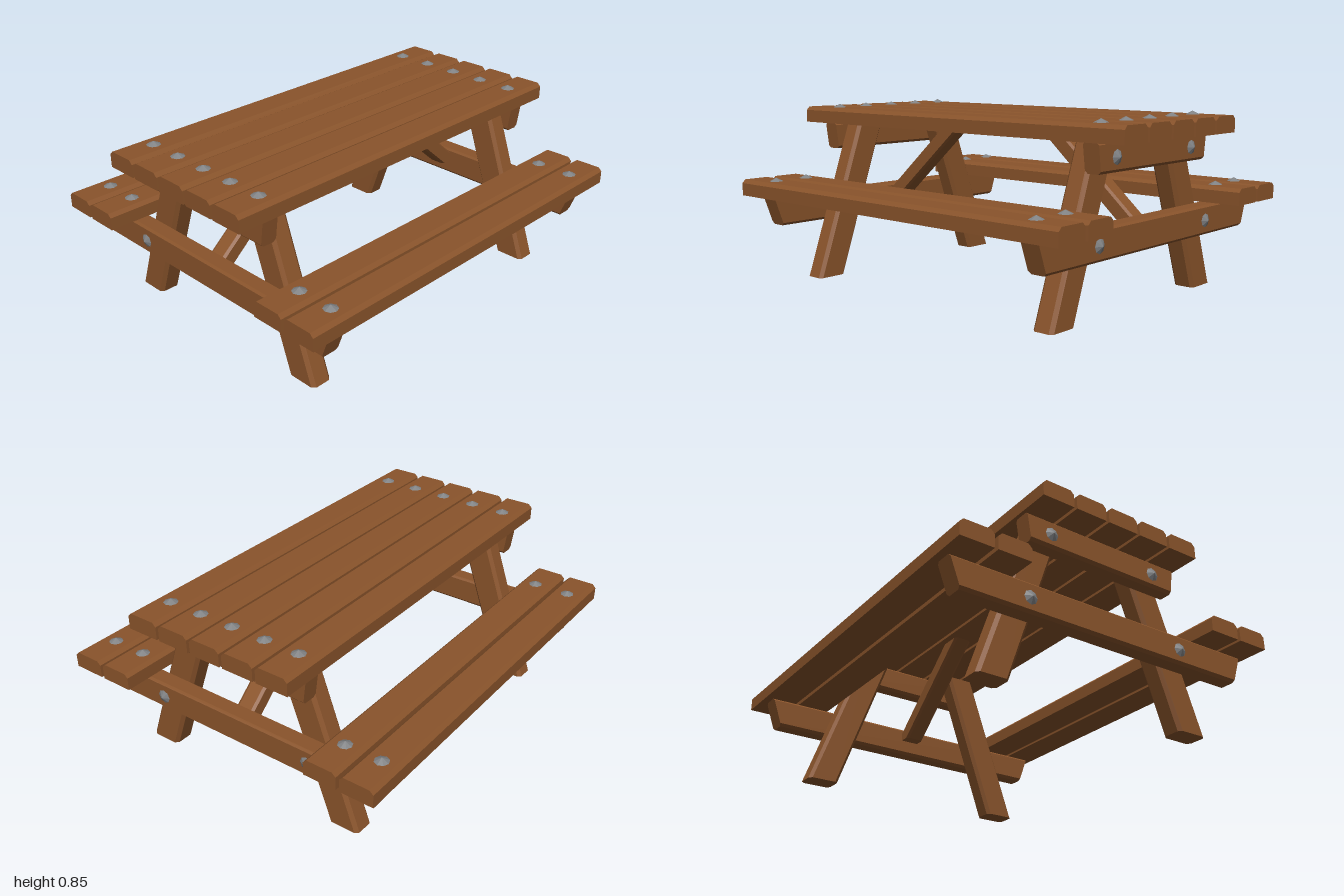
import * as THREE from 'three';

const wood = new THREE.MeshStandardMaterial({ color: 0x8a542b });
wood.name = 'brown wood';
const steel = new THREE.MeshStandardMaterial({ color: 0x808284 });
steel.name = 'grey steel';

// Rectangle centred on the origin with bevelled corners (cb = bottom, ct = top)
function section(w, h, cb, ct) {
  const a = w / 2, b = h / 2;
  const pts = [
    [-a, -b + cb], [-a + cb, -b], [a - cb, -b], [a, -b + cb],
    [a, b - ct], [a - ct, b], [-a + ct, b], [-a, b - ct],
  ].filter(([x, y], i, all) => !all.slice(0, i).some(([p, q]) => p === x && q === y));
  return new THREE.Shape(pts.map(([x, y]) => new THREE.Vector2(x, y)));
}

// Timber: extrudes a section from t = 0 to 1, then places each vertex by a rule
function timber(name, shape, place) {
  const geo = new THREE.ExtrudeGeometry(shape, { depth: 1, bevelEnabled: false });
  const p = geo.attributes.position;
  for (let i = 0; i < p.count; i++) p.setXYZ(i, ...place(p.getX(i), p.getY(i), p.getZ(i)));
  geo.computeVertexNormals();
  const mesh = new THREE.Mesh(geo, wood);
  mesh.name = name;
  return mesh;
}

// Low faceted bolt head, base on the given point
function bolt(x, y, z, sideways) {
  const geo = new THREE.ConeGeometry(0.035, 0.018, 8).toNonIndexed();
  geo.translate(0, 0.009, 0);
  geo.computeVertexNormals();
  const mesh = new THREE.Mesh(geo, steel);
  mesh.name = 'bolt';
  mesh.position.set(x, y, z);
  if (sideways) mesh.rotation.z = -Math.PI / 2;
  return mesh;
}

// Full-length board with a bolt at each end
function plank(name, top, z) {
  const g = new THREE.Group();
  g.name = name;
  g.add(timber(name + 'Board', section(0.16, 0.078, 0, 0.017),
    (u, v, t) => [2 * t - 1, top - 0.039 + v, z - u]));
  for (const s of [-1, 1]) g.add(bolt(s * 0.828, top - 0.001, z, false));
  return g;
}

// Cross beam along z whose ends slope in towards the bottom
function beam(name, x0, x1, y0, y1, halfBottom, halfTop) {
  const h = y1 - y0;
  return timber(name, section(x1 - x0, h, 0.013, 0.01), (u, v, t) => {
    const half = THREE.MathUtils.lerp(halfBottom, halfTop, v / h + 0.5);
    return [(x0 + x1) / 2 + u, (y0 + y1) / 2 + v, (2 * t - 1) * half];
  });
}

// One trestle: two splayed legs, two cross beams and a diagonal brace
function trestle(name) {
  const g = new THREE.Group();
  g.name = name;
  for (const s of [-1, 1]) {
    g.add(timber(s > 0 ? 'frontLeg' : 'backLeg', section(0.106, 0.155, 0.016, 0.016),
      (u, v, t) => [0.738 + u, 0.758 * t, s * (0.533 - 0.271 * t) - v]));
    g.add(bolt(0.864, 0.692, s * 0.285, true));
    g.add(bolt(0.874, 0.343, s * 0.41, true));
  }
  g.add(beam('tableBeam', 0.785, 0.865, 0.628, 0.758, 0.395, 0.413));
  g.add(beam('seatBeam', 0.785, 0.875, 0.274, 0.413, 0.745, 0.795));
  // Brace rises inwards from the seat beam and is cut level under the table top
  g.add(timber('brace', section(0.094, 0.118, 0.013, 0.013),
    (u, v, t) => [0.312 + 0.473 * t + v, 0.758 - 0.41 * t, -u]));
  return g;
}

export function createModel() {
  const model = new THREE.Group();
  model.name = 'picnicTable';
  for (let i = -2; i <= 2; i++) model.add(plank('tablePlank', 0.835, i * 0.175));
  for (const s of [-1, 1]) {
    for (const z of [0.575, 0.752]) model.add(plank('seatPlank', 0.491, s * z));
  }
  const left = trestle('leftTrestle');
  const right = trestle('rightTrestle');
  right.rotation.y = Math.PI;
  model.add(left, right);
  return model;
}
